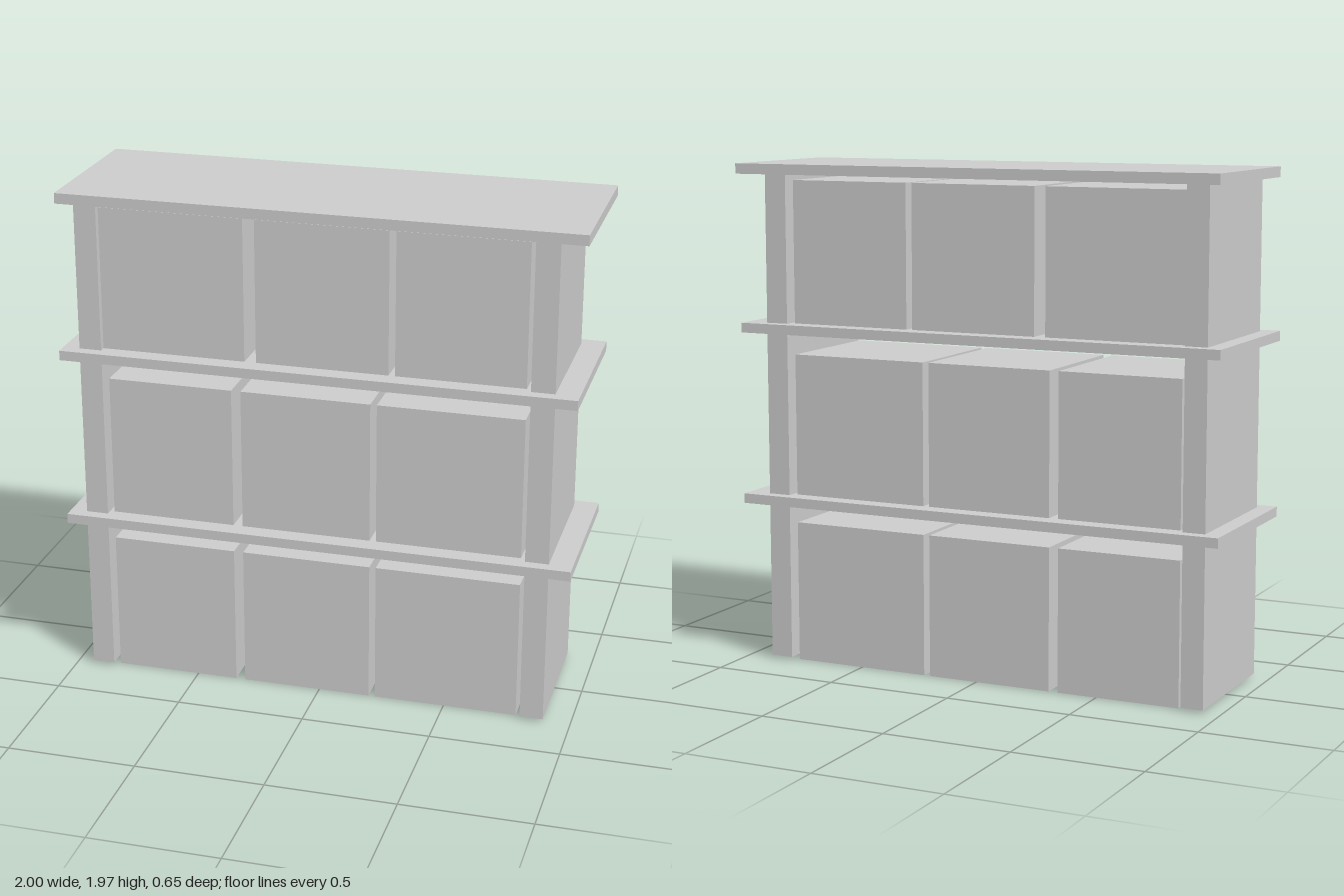
import * as THREE from 'three';

export function createModel() {
  const group = new THREE.Group();
  const material = new THREE.MeshStandardMaterial({ color: 0xcccccc, flatShading: true });

  // Box given by its x range, y range and half depth
  const addBox = (name, x0, x1, y0, y1, halfDepth) => {
    const mesh = new THREE.Mesh(new THREE.BoxGeometry(x1 - x0, y1 - y0, halfDepth * 2), material);
    mesh.position.set((x0 + x1) / 2, (y0 + y1) / 2, 0);
    mesh.name = name;
    group.add(mesh);
  };

  // Side panels
  addBox('rightSidePanel', -0.935, -0.848, 0.012, 1.925, 0.28);
  addBox('leftSidePanel', 0.805, 0.895, 0.012, 1.925, 0.28);

  // Shelves and top board
  addBox('lowerShelf', -1, 0.985, 0.63, 0.668, 0.325);
  addBox('upperShelf', -1, 0.985, 1.308, 1.346, 0.325);
  addBox('topBoard', -0.99, 1, 1.925, 1.965, 0.325);

  // Storage boxes standing on the floor and on the shelves
  const columns = [[-0.83, -0.342], [-0.305, 0.2], [0.225, 0.785]];
  const topColumns = [[-0.85, -0.287], [-0.242, 0.268], [0.293, 0.785]];
  const rows = [
    ['bottomBox', 0, columns],
    ['middleBox', 0.668, columns],
    ['topBox', 1.346, topColumns],
  ];
  for (const [name, y, spans] of rows) {
    spans.forEach(([x0, x1], i) => addBox(name + (i + 1), x0, x1, y, y + 0.556, 0.254));
  }

  return group;
}
